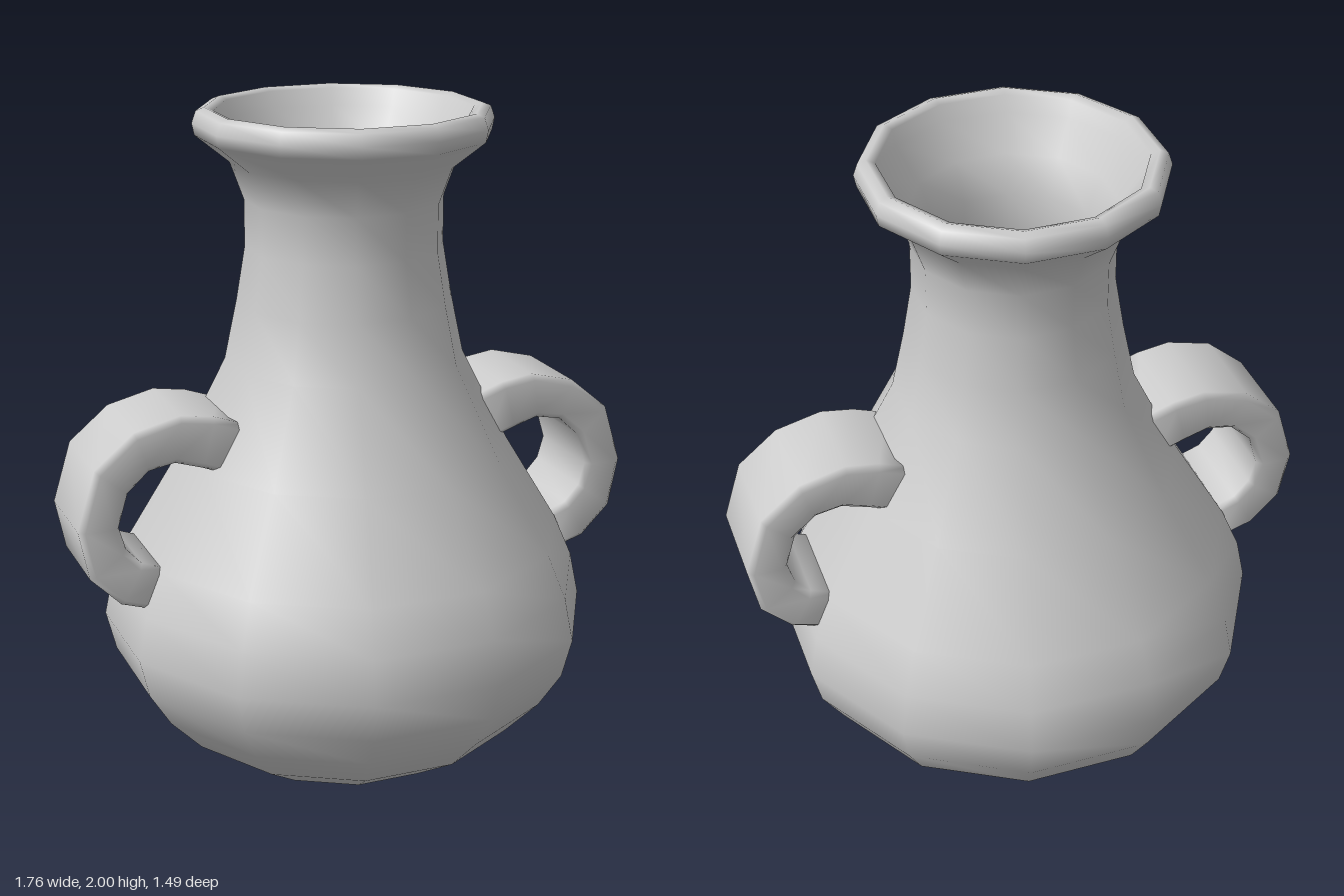
import * as THREE from 'three';

const SIDES = 12;
const material = new THREE.MeshStandardMaterial({ color: 0xcccccc });

function addMesh(parent, name, geometry) {
  const mesh = new THREE.Mesh(geometry, material);
  mesh.name = name;
  parent.add(mesh);
  return mesh;
}

// Strap swept along rows of [outer radius, outer y, inner radius, inner y]
function strapGeometry(rows, halfWidth, bevel) {
  const positions = [], index = [], n = 8;
  const w = halfWidth, v = halfWidth - bevel;
  for (const [ro, yo, ri, yi] of rows) {
    const b = bevel / Math.hypot(ri - ro, yi - yo);
    // Chamfered rectangle: [fraction from outer to inner edge, sideways offset]
    const ring = [[0, -v], [0, v], [b, w], [1 - b, w], [1, v], [1, -v], [1 - b, -w], [b, -w]];
    for (const [t, z] of ring) positions.push(ro + (ri - ro) * t, yo + (yi - yo) * t, z);
  }
  for (let i = 0; i < rows.length - 1; i++) {
    for (let j = 0; j < n; j++) {
      const a = i * n + j, b = i * n + (j + 1) % n;
      index.push(a, b, a + n, b, b + n, a + n);
    }
  }
  // End caps
  const last = (rows.length - 1) * n;
  for (let j = 1; j < n - 1; j++) {
    index.push(0, j + 1, j, last, last + j, last + j + 1);
  }
  const geometry = new THREE.BufferGeometry();
  geometry.setAttribute('position', new THREE.Float32BufferAttribute(positions, 3));
  geometry.setIndex(index);
  geometry.computeVertexNormals();
  return geometry;
}

export function createModel() {
  const vase = new THREE.Group();
  vase.name = 'vase';

  // Body: outer wall up to the rim, then the inner wall down to the floor
  const profile = [
    [0.38, 0], [0.54, 0.1], [0.645, 0.21], [0.715, 0.32], [0.745, 0.44], [0.718, 0.57],
    [0.662, 0.7], [0.5, 0.97], [0.36, 1.25], [0.322, 1.43], [0.295, 1.59], [0.295, 1.73],
    [0.335, 1.84], [0.435, 1.92], [0.442, 1.955], [0.43, 1.99], [0.405, 2],
    [0.38, 1.99], [0.37, 1.94], [0.3, 1.84], [0.255, 1.73], [0.255, 1.59], [0.28, 1.43],
    [0.318, 1.25], [0.455, 0.97], [0.615, 0.7], [0.67, 0.57], [0.695, 0.44], [0.67, 0.33],
    [0.6, 0.23], [0.5, 0.13], [0.35, 0.05], [0, 0.05],
  ].map(([r, y]) => new THREE.Vector2(r, y));
  addMesh(vase, 'body', new THREE.LatheGeometry(profile, SIDES));

  // Flat underside
  addMesh(vase, 'base', new THREE.CircleGeometry(0.38, SIDES).rotateX(Math.PI / 2));

  // Two strap handles, each centred on a facet and opposite one another
  const strap = strapGeometry([
    [0.36, 1.115, 0.42, 0.97], [0.46, 1.15, 0.5, 1.0], [0.56, 1.165, 0.58, 1.025],
    [0.7, 1.13, 0.66, 1.01], [0.82, 1.03, 0.725, 0.95], [0.875, 0.85, 0.755, 0.85],
    [0.845, 0.7, 0.735, 0.78], [0.755, 0.61, 0.69, 0.73], [0.645, 0.575, 0.61, 0.7],
  ], 0.16, 0.018);
  ['leftHandle', 'rightHandle'].forEach((name, i) => {
    addMesh(vase, name, strap).rotation.y = -Math.PI / 12 + i * Math.PI;
  });

  return vase;
}
